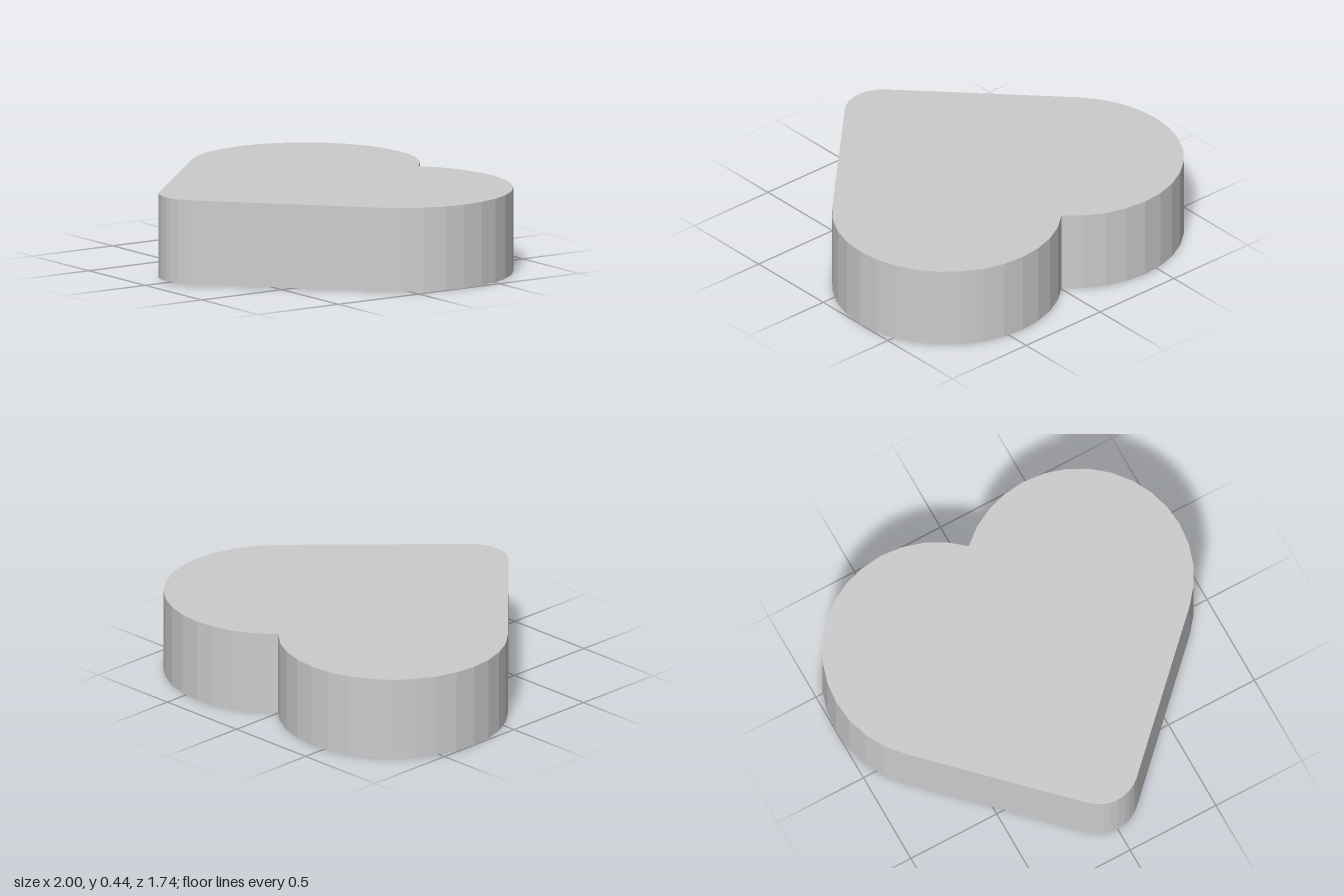
import * as THREE from 'three';

const HEIGHT = 0.433;
const STEP = Math.PI / 16; // facet angle of every arc

// Right half of the heart outline as [x, z], from the back notch to the front tip
function halfOutline() {
  const pts = [];
  const arc = (cx, cz, r, from, steps) => {
    for (let i = 0; i <= steps; i++) {
      const a = from + i * STEP;
      pts.push([cx + r * Math.cos(a), cz + r * Math.sin(a)]);
    }
  };
  arc(0.4142, -0.287, 0.5858, -0.75 * Math.PI, 16); // lobe
  arc(0, 0.67, 0.202, Math.PI / 4, 4); // rounded tip
  pts[0][0] = pts[pts.length - 1][0] = 0;
  return pts;
}

// Each half lies very slightly tilted, rising toward the tip and the centre line
const lift = (x, z) => Math.max(0, 0.0066 + 0.0038 * z - 0.006 * x);

function heartGeometry() {
  const pts = halfOutline();
  const pos = [];
  for (const side of [1, -1]) {
    const vert = ([x, z], h) => [side * x, h + lift(x, z), z];
    const tri = (a, b, c) => pos.push(...a, ...(side > 0 ? b : c), ...(side > 0 ? c : b));
    for (let i = 0; i < pts.length - 1; i++) {
      const a = pts[i], b = pts[i + 1];
      // side wall
      tri(vert(a, 0), vert(a, HEIGHT), vert(b, HEIGHT));
      tri(vert(a, 0), vert(b, HEIGHT), vert(b, 0));
      // top and bottom, fanned from the notch
      if (i > 0) {
        tri(vert(pts[0], HEIGHT), vert(b, HEIGHT), vert(a, HEIGHT));
        tri(vert(pts[0], 0), vert(a, 0), vert(b, 0));
      }
    }
  }
  const geo = new THREE.BufferGeometry();
  geo.setAttribute('position', new THREE.Float32BufferAttribute(pos, 3));
  geo.computeVertexNormals();
  return geo;
}

export function createModel() {
  const group = new THREE.Group();
  group.name = 'heart';
  const body = new THREE.Mesh(
    heartGeometry(),
    new THREE.MeshStandardMaterial({ color: 0xcccccc, flatShading: true })
  );
  body.name = 'heartBody';
  group.add(body);
  return group;
}
